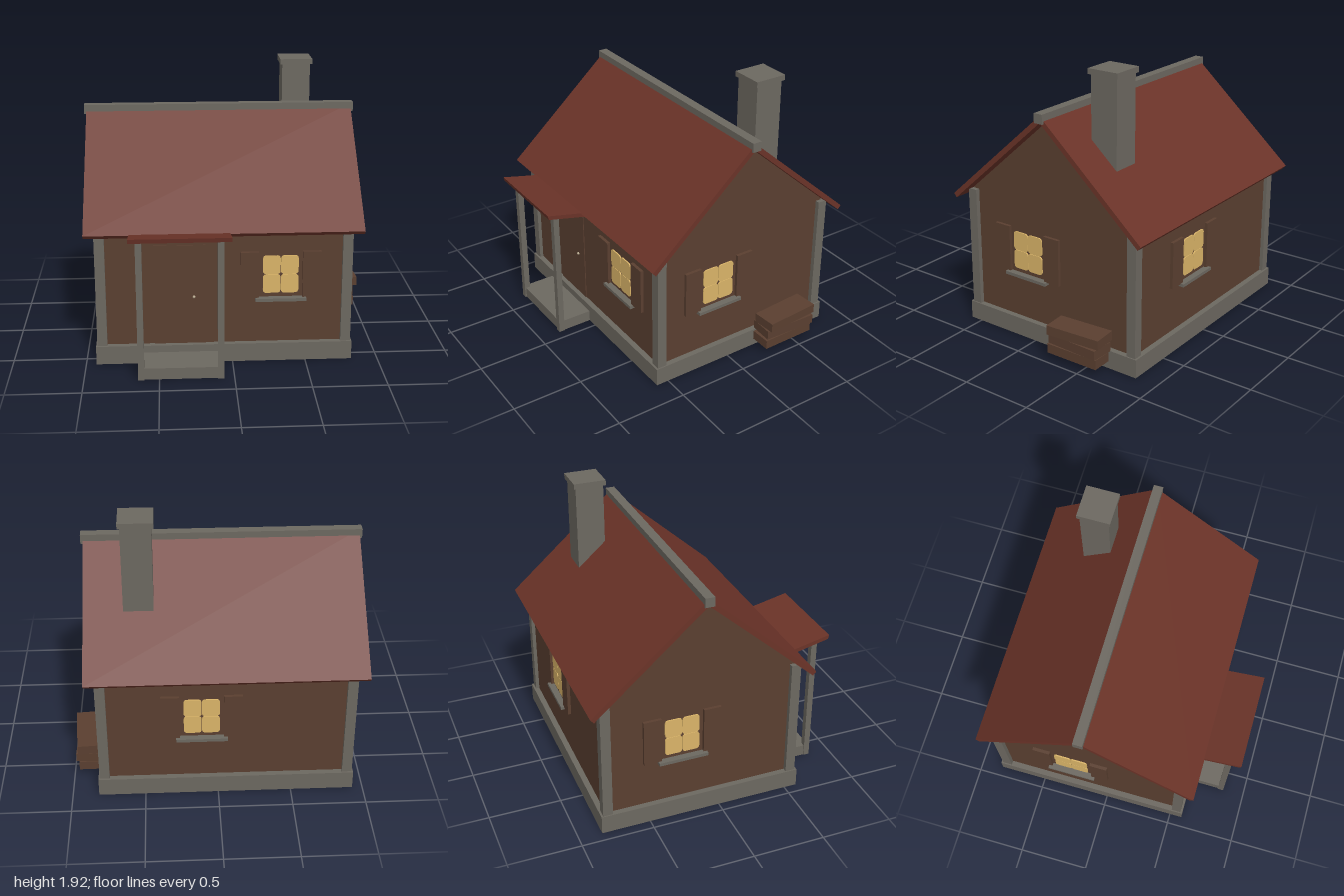
import * as THREE from 'three';

const mat = (name, color) => {
  const m = new THREE.MeshStandardMaterial({ color });
  m.name = name;
  return m;
};

export function createModel() {
  const wood = mat('brown wood', 0x5a3f30);
  const stone = mat('grey stone', 0x6c6860);
  const tile = mat('red roof', 0x6b3328);
  const glow = mat('lit window', 0xdab468);
  const metal = mat('pale metal', 0xb5a78c);

  const house = new THREE.Group();
  house.name = 'cottage';

  const add = (name, geo, material, parent = house) => {
    const m = new THREE.Mesh(geo, material);
    m.name = name;
    parent.add(m);
    return m;
  };
  // Box given by its limits on each axis
  const box = (name, [x0, x1], [y0, y1], [z0, z1], material, parent) => {
    const m = add(name, new THREE.BoxGeometry(x1 - x0, y1 - y0, z1 - z0), material, parent);
    m.position.set((x0 + x1) / 2, (y0 + y1) / 2, (z0 + z1) / 2);
    return m;
  };
  // Prism running along x from a (z, y) cross-section
  const prism = (name, pts, x0, x1, material) => {
    const shape = new THREE.Shape(pts.map(([z, y]) => new THREE.Vector2(z, y)));
    const geo = new THREE.ExtrudeGeometry(shape, { depth: x1 - x0, bevelEnabled: false });
    geo.rotateY(-Math.PI / 2).translate(x1, 0, 0);
    return add(name, geo, material);
  };

  const cx = -0.055, cz = -0.125; // centre of the house body
  const hx = 0.835, hz = 0.675;   // half size of the walls

  // Foundation and gabled walls
  box('foundation', [cx - 0.875, cx + 0.875], [0, 0.13], [cz - 0.715, cz + 0.715], stone);
  prism('walls', [[cz - hz, 0.12], [cz + hz, 0.12], [cz + hz, 0.996], [cz, 1.593], [cz - hz, 0.996]],
    cx - hx, cx + hx, wood);

  // Corner posts
  for (const sx of [-1, 1]) for (const sz of [-1, 1]) {
    const px = cx + sx * 0.832, pz = cz + sz * 0.667;
    box('cornerPost', [px - 0.034, px + 0.034], [0.13, 0.985], [pz - 0.034, pz + 0.034], stone);
  }

  // Roof slabs and ridge beam
  prism('roof', [[cz, 1.593], [cz + 0.757, 0.924], [cz + 0.78, 0.95], [cz, 1.64],
    [cz - 0.78, 0.95], [cz - 0.757, 0.924]], -0.985, 0.875, tile);
  box('ridgeBeam', [-1, 0.89], [1.592, 1.657], [cz - 0.033, cz + 0.033], stone);

  // Chimney
  box('chimney', [0.41, 0.61], [1.2, 1.89], [-0.53, -0.33], stone);
  box('chimneyCap', [0.395, 0.625], [1.887, 1.925], [-0.545, -0.315], stone);

  // Porch
  box('porchStep', [-0.635, -0.075], [0, 0.08], [0.58, 0.835], stone);
  for (const x of [-0.62, -0.09])
    box('porchPost', [x - 0.021, x + 0.021], [0, 0.965], [0.803, 0.845], stone);
  prism('porchRoof', [[0.52, 0.894], [0.903, 0.983], [0.91, 1.013], [0.527, 0.926]], -0.685, -0.02, tile);

  // Door
  box('door', [-0.53, -0.18], [0.13, 0.84], [0.545, 0.556], wood);
  const knob = add('doorKnob', new THREE.SphereGeometry(0.01, 10, 8), metal);
  knob.position.set(-0.26, 0.47, 0.56);

  // Rounded window pane
  const pane = (w, h, r) => {
    const s = new THREE.Shape(), a = w / 2, b = h / 2;
    s.absarc(a - r, b - r, r, 0, Math.PI / 2);
    s.absarc(-a + r, b - r, r, Math.PI / 2, Math.PI);
    s.absarc(-a + r, -b + r, r, Math.PI, Math.PI * 1.5);
    s.absarc(a - r, -b + r, r, Math.PI * 1.5, Math.PI * 2);
    return new THREE.ExtrudeGeometry(s, { depth: 0.009, bevelEnabled: false, curveSegments: 4 });
  };
  const paneGeo = pane(0.119, 0.132, 0.022);

  // Window with four panes, a sill and a pair of shutters; local +z points outward
  const addWindow = (name, x, z, turn) => {
    const w = new THREE.Group();
    w.name = name;
    for (const sx of [-1, 1]) {
      for (const sy of [-1, 1])
        add('pane', paneGeo, glow, w).position.set(sx * 0.061, sy * 0.0675, 0.001);
      const c = sx * 0.21;
      box('shutter', [c - 0.062, c + 0.062], [-0.167, 0.163], [-0.005, 0.022], wood, w);
    }
    box('sill', [-0.173, 0.173], [-0.185, -0.163], [-0.01, 0.045], stone, w);
    w.position.set(x, 0.622, z);
    w.rotation.y = turn;
    house.add(w);
  };
  addWindow('frontWindow', 0.327, cz + hz, 0);
  addWindow('leftWindow', cx + hx, 0.075, Math.PI / 2);
  addWindow('backWindow', 0.11, cz - hz, Math.PI);
  addWindow('rightWindow', cx - hx, -0.26, -Math.PI / 2);

  // Stacked firewood, each piece turned a little: [x, y, z, width, length, turn]
  for (const [x, y, z, w, l, turn] of [
    [0.885, 0.084, -0.425, 0.16, 0.395, 0.01],
    [0.89, 0.16, -0.435, 0.165, 0.39, -0.04],
    [0.895, 0.234, -0.44, 0.17, 0.4, 0.07],
  ]) {
    const log = add('firewood', new THREE.BoxGeometry(w, 0.066, l), wood);
    log.position.set(x, y, z);
    log.rotation.y = turn;
  }

  return house;
}
